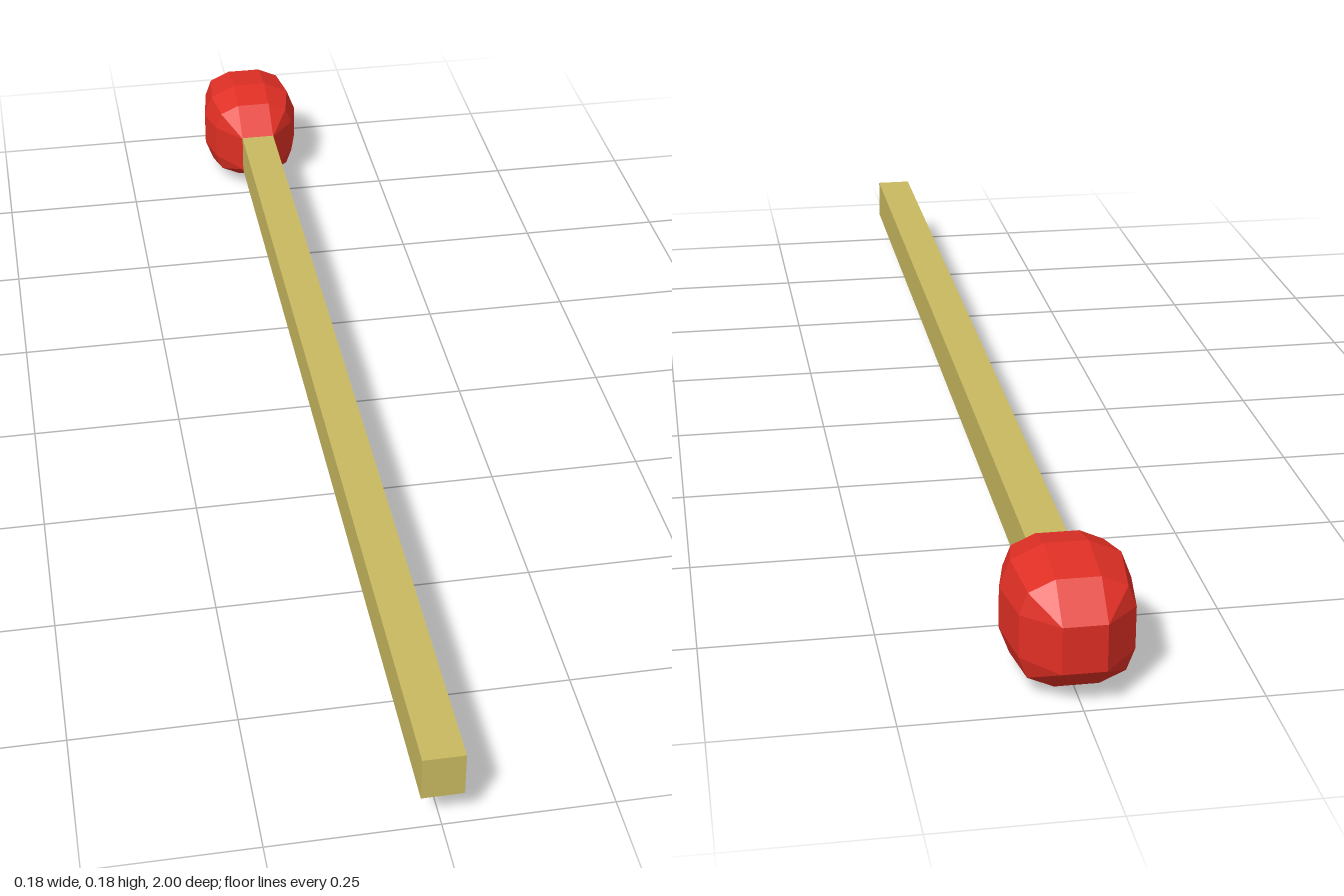
import * as THREE from 'three';

const CENTER_Y = 0.094;
const CORE = [0.031, 0.035]; // half size of the stick

// Twelve-sided ring: k = 0 is the stick's rectangle, k = 1 the full bulge
function ring(z, k) {
  const corner = [[0.092, 0.031], [0.077, 0.071], [0.031, 0.092]];
  const points = [];
  for (const [sx, sy] of [[1, 1], [-1, 1], [-1, -1], [1, -1]]) {
    const ordered = sx * sy > 0 ? corner : [...corner].reverse();
    for (const [x, y] of ordered) {
      points.push(new THREE.Vector3(
        sx * THREE.MathUtils.lerp(CORE[0], x, k),
        CENTER_Y + sy * THREE.MathUtils.lerp(CORE[1], y, k), z));
    }
  }
  return points;
}

// Skin the rings and close the last one, leaving out collapsed triangles
function skinRings(rings) {
  const positions = [];
  const tri = (a, b, c) => {
    if (new THREE.Triangle(a, b, c).getArea() < 1e-8) return;
    for (const p of [a, b, c]) positions.push(p.x, p.y, p.z);
  };
  const n = rings[0].length;
  for (let i = 0; i < rings.length - 1; i++) {
    for (let j = 0; j < n; j++) {
      const a = rings[i][j], b = rings[i][(j + 1) % n];
      const c = rings[i + 1][j], d = rings[i + 1][(j + 1) % n];
      tri(a, c, b);
      tri(b, c, d);
    }
  }
  const end = rings[rings.length - 1];
  for (let j = 1; j < n - 1; j++) tri(end[0], end[j + 1], end[j]);
  const geometry = new THREE.BufferGeometry();
  geometry.setAttribute('position', new THREE.Float32BufferAttribute(positions, 3));
  geometry.computeVertexNormals();
  return geometry;
}

export function createModel() {
  const wood = new THREE.MeshStandardMaterial({ color: 0xc9b960 });
  wood.name = 'wood';
  const red = new THREE.MeshStandardMaterial({ color: 0xdf2f24 });
  red.name = 'red';

  const model = new THREE.Group();
  model.name = 'matchstick';

  // Square wooden stick, running a little way into the head
  const stick = new THREE.Mesh(
    new THREE.BoxGeometry(CORE[0] * 2, CORE[1] * 2 + 0.002, 1.78), wood);
  stick.position.set(0, CENTER_Y, 0.11);
  stick.name = 'stick';

  // Faceted head swelling out of the stick and closing to a small flat end
  const sections = [[-0.745, 0], [-0.805, 0.75], [-0.865, 1], [-0.95, 0.8], [-1, 0]];
  const head = new THREE.Mesh(skinRings(sections.map(([z, k]) => ring(z, k))), red);
  head.name = 'head';

  model.add(stick, head);
  return model;
}
